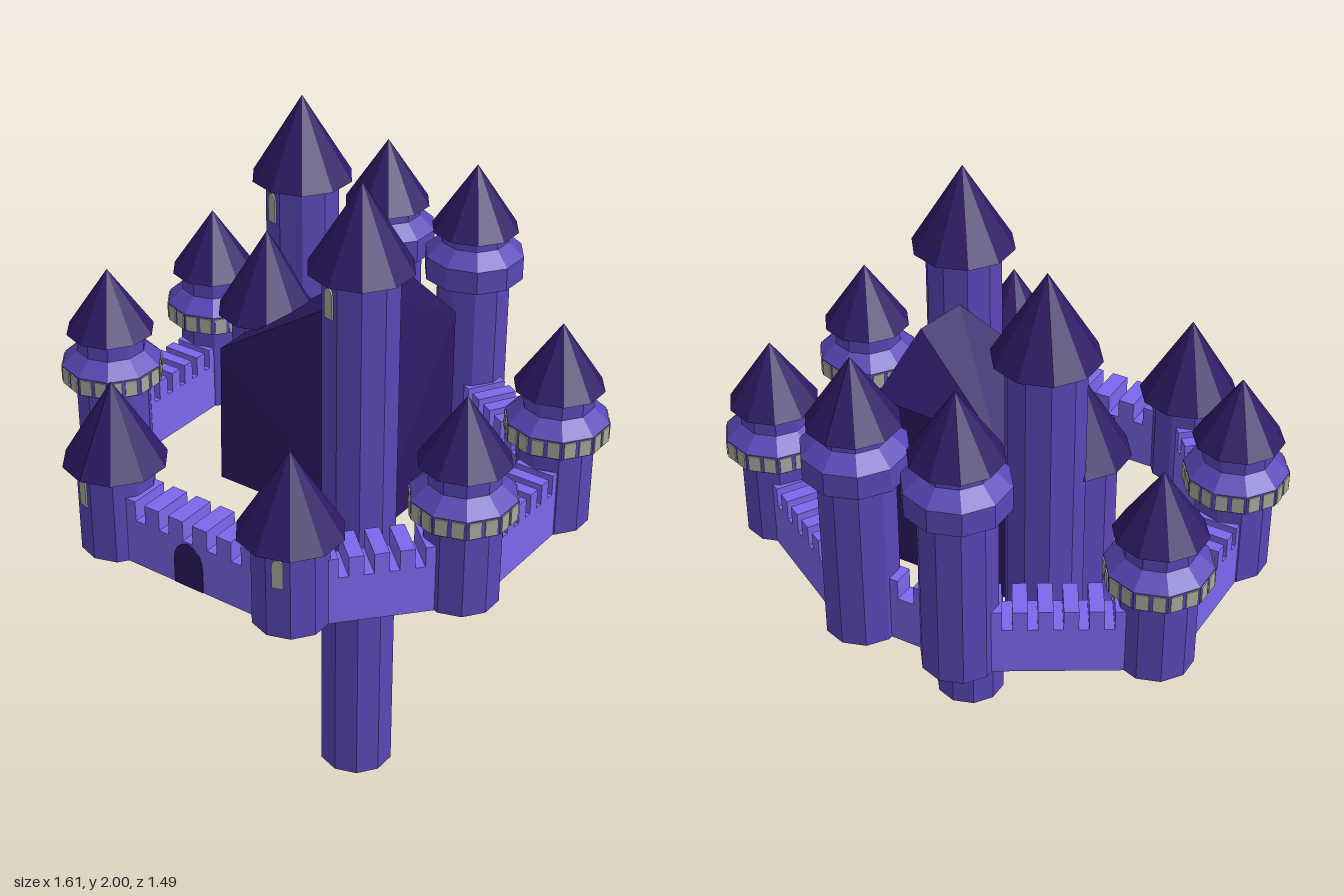
import * as THREE from 'three';
import { ConvexGeometry } from 'three/addons/geometries/ConvexGeometry.js';

const SIDES = 10;
const paint = (color) => new THREE.MeshStandardMaterial({ color, flatShading: true });
const STONE = paint(0x5a47b8);
const WALL = paint(0x7b68ee);
const ROOF = paint(0x2e1a66);
const PANE = paint(0xaaaaa0);

const BODY = 0.117, EAVE = 0.158, NECK = 0.108;
const apothem = (r) => r * Math.cos(Math.PI / SIDES);

function add(parent, name, geometry, material, x = 0, y = 0, z = 0, turn = 0) {
  const mesh = new THREE.Mesh(geometry, material);
  mesh.name = name;
  mesh.position.set(x, y, z);
  mesh.rotation.y = turn;
  parent.add(mesh);
  return mesh;
}

// Round-topped outline standing on y = 0
function archGeometry(width, height, depth) {
  const r = width / 2;
  const s = new THREE.Shape();
  s.moveTo(-r, 0);
  s.lineTo(r, 0);
  s.lineTo(r, height - r * 1.4);
  s.quadraticCurveTo(r, height - r * 0.2, 0, height);
  s.quadraticCurveTo(-r, height - r * 0.2, -r, height - r * 1.4);
  s.closePath();
  return new THREE.ExtrudeGeometry(s, { depth, bevelEnabled: false, curveSegments: 4 })
    .translate(0, 0, -depth / 2);
}

// Tower shaft turned from a radius/height profile, with a pointed roof
function tower(parent, name, x, z, profile, eaveY, apexY, eaveR) {
  const g = new THREE.Group();
  g.name = name;
  g.position.set(x, 0, z);
  const pts = profile.map(([r, y]) => new THREE.Vector2(r, y));
  add(g, 'shaft', new THREE.LatheGeometry(pts, SIDES), STONE);
  const h = apexY - eaveY;
  add(g, 'roof', new THREE.ConeGeometry(eaveR, h, SIDES), ROOF, 0, eaveY + h / 2);
  parent.add(g);
  return g;
}

const plain = (bottom, top) => [[0, bottom], [BODY, bottom], [BODY, top]];

// Shaft with a projecting gallery and a narrower neck above it
const galleried = (low, high, neck, top) => [
  [0, 0.845], [BODY, 0.845], [BODY, low - 0.02], [EAVE, low], [EAVE, high], [NECK, neck], [NECK, top],
];

// Arched window on the shaft face to the left or right of the front corner
function towerWindow(g, side, y) {
  const a = side * Math.PI / SIDES, r = apothem(BODY);
  add(g, 'window', archGeometry(0.034, 0.095, 0.01), PANE, Math.sin(a) * r, y, Math.cos(a) * r, a);
}

// Two panes on every face of the gallery
function galleryPanes(g, y) {
  const pane = new THREE.BoxGeometry(0.037, 0.052, 0.008);
  for (let i = 0; i < SIDES; i++) {
    const face = new THREE.Group();
    face.name = 'galleryPanes';
    face.rotation.y = (i + 0.5) * 2 * Math.PI / SIDES;
    for (const s of [-1, 1]) add(face, 'pane', pane, PANE, s * 0.024, y, apothem(EAVE));
    g.add(face);
  }
}

// Battlemented wall between two tower centres
function wall(parent, name, [ax, az], [bx, bz], thickness, notches) {
  const dx = bx - ax, dz = bz - az, len = Math.hypot(dx, dz);
  const half = len / 2 - 0.03, clear = len - 0.2;
  const s = new THREE.Shape();
  s.moveTo(-half, 0.845);
  s.lineTo(half, 0.845);
  s.lineTo(half, 1.065);
  const pitch = clear / notches, w = pitch * 0.2;
  for (let i = notches - 1; i >= 0; i--) {
    const c = -clear / 2 + (i + 0.5) * pitch;
    s.lineTo(c + w, 1.065);
    s.lineTo(c + w, 1.0);
    s.lineTo(c - w, 1.0);
    s.lineTo(c - w, 1.065);
  }
  s.lineTo(-half, 1.065);
  s.closePath();
  const geo = new THREE.ExtrudeGeometry(s, { depth: thickness, bevelEnabled: false })
    .translate(0, 0, -thickness / 2);
  add(parent, name, geo, WALL, (ax + bx) / 2, 0, (az + bz) / 2, Math.atan2(-dz, dx));
}

export function createModel() {
  const castle = new THREE.Group();
  castle.name = 'castle';

  // Outer ring, mirrored left and right
  const front = [0.32, 0.575], sideF = [0.65, 0.205], sideB = [0.65, -0.31], back = [0.165, -0.595];
  for (const m of [1, -1]) {
    const side = m > 0 ? 'left' : 'right';
    const at = ([x, z]) => [x * m, z];

    const gate = tower(castle, side + 'GateTower', ...at(front), plain(0.845, 1.137), 1.135, 1.395, EAVE);
    towerWindow(gate, m, 1.015);

    for (const [label, p] of [['Front', sideF], ['Back', sideB]]) {
      const t = tower(castle, side + label + 'Tower', ...at(p),
        galleried(1.135, 1.195, 1.24, 1.302), 1.3, 1.505, 0.138);
      galleryPanes(t, 1.165);
    }

    tower(castle, side + 'RearTower', ...at(back),
      galleried(1.41, 1.485, 1.53, 1.567), 1.565, 1.775, 0.138);

    wall(castle, side + 'FrontWall', at(front), at(sideF), 0.13, 4);
    wall(castle, side + 'SideWall', at(sideF), at(sideB), 0.13, 5);
    wall(castle, side + 'BackWall', at(sideB), at(back), 0.13, 5);
  }
  wall(castle, 'gateWall', [-0.32, 0.575], front, 0.13, 5);
  wall(castle, 'rearWall', [-0.165, -0.585], [0.165, -0.585], 0.065, 1);
  add(castle, 'gate', archGeometry(0.105, 0.15, 0.136), ROOF, 0, 0.846, 0.575);

  // Keep: a block with sloping, cut-back top
  const keep = [
    [-0.29, 0.85, 0.125], [0.285, 0.85, 0.125], [0.285, 0.85, -0.305], [-0.29, 0.85, -0.305],
    [-0.29, 1.305, 0.11], [0.19, 1.6, 0.02], [0.22, 1.6, -0.15],
    [0.285, 1.43, -0.305], [-0.12, 1.41, -0.305], [-0.29, 1.305, -0.305],
  ].map((p) => new THREE.Vector3(...p));
  add(castle, 'keep', new ConvexGeometry(keep), ROOF);

  // Tall tower running down to the ground, with a recess in its foot
  const tall = tower(castle, 'tallTower', 0.237, 0.125,
    [[0, 0.08], [0.055, 0.08], [0.06, 0], [BODY, 0], [BODY, 1.742]], 1.74, 2, EAVE);
  towerWindow(tall, -1, 1.615);

  // Inner towers beside the keep
  const inner = tower(castle, 'innerTower', -0.267, -0.28, plain(0.85, 1.742), 1.74, 2, EAVE);
  towerWindow(inner, -1, 1.615);
  tower(castle, 'lowInnerTower', -0.292, -0.13, plain(0.76, 1.342), 1.34, 1.605, EAVE);

  return castle;
}
